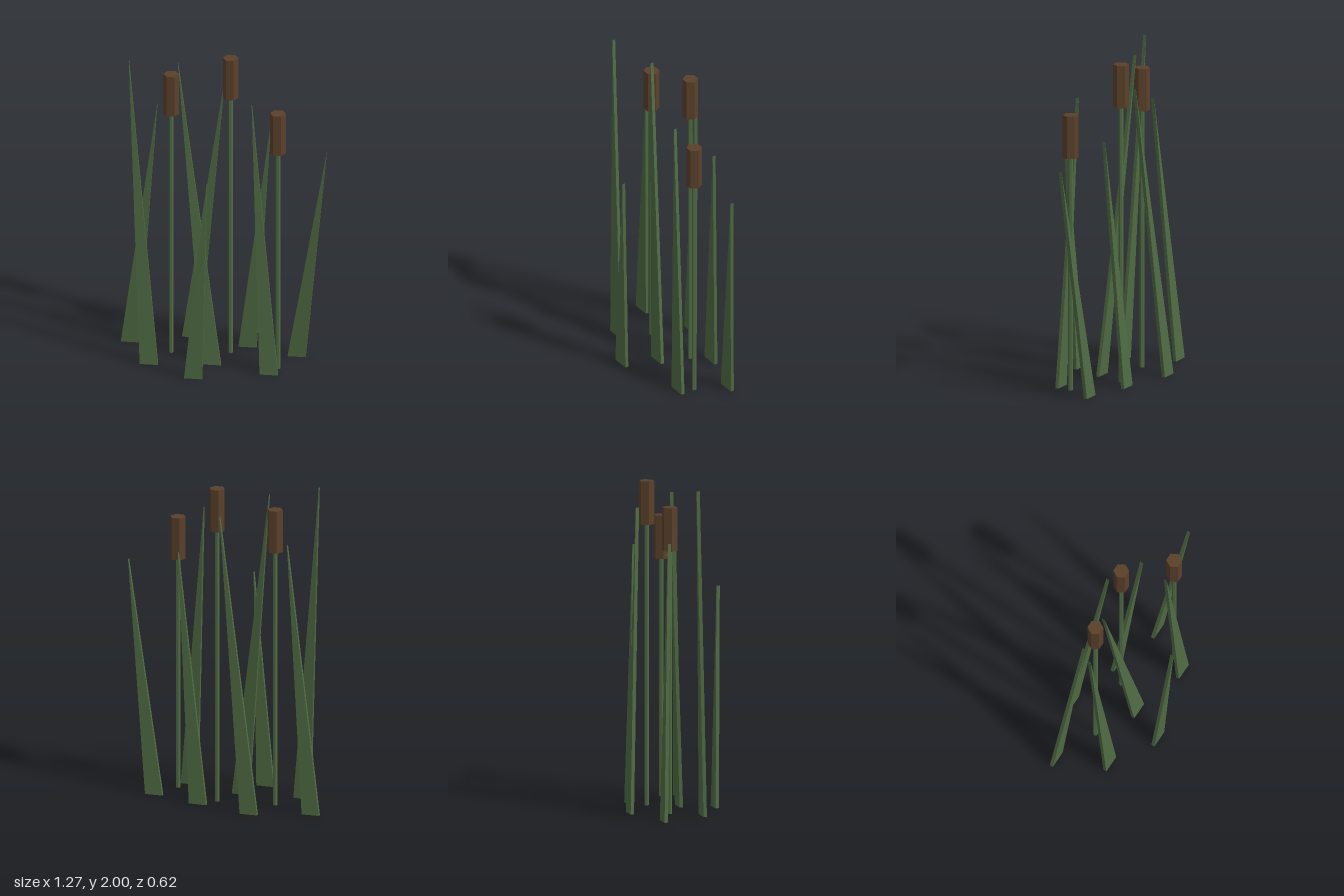
import * as THREE from 'three';

const green = new THREE.MeshStandardMaterial({ color: 0x4f6b43, flatShading: true });
green.name = 'reed green';
const brown = new THREE.MeshStandardMaterial({ color: 0x5a402a, flatShading: true });
brown.name = 'seed head brown';

const THICK = 0.021, WIDTH = 0.11;

// Tapered blade: a triangular prism sheared so its tip leans in x and z
function blade(x, z, tipX, tipZ, height) {
  const shape = new THREE.Shape();
  shape.moveTo(-WIDTH / 2, 0);
  shape.lineTo(WIDTH / 2, 0);
  shape.lineTo(tipX - x, height);
  shape.closePath();
  const geo = new THREE.ExtrudeGeometry(shape, { depth: THICK, bevelEnabled: false });
  geo.translate(0, 0, -THICK / 2);
  const p = geo.attributes.position;
  for (let i = 0; i < p.count; i++) {
    p.setZ(i, p.getZ(i) + (tipZ - z) * p.getY(i) / height);
  }
  geo.computeVertexNormals();
  const mesh = new THREE.Mesh(geo, green);
  mesh.position.set(x, 0, z);
  mesh.name = 'blade';
  return mesh;
}

// Hexagonal stem carrying a hexagonal seed head
function cattail(x, z, headBase) {
  const group = new THREE.Group();
  group.name = 'cattail';
  const part = (name, radius, y0, y1, material) => {
    const mesh = new THREE.Mesh(new THREE.CylinderGeometry(radius, radius, y1 - y0, 6), material);
    mesh.rotation.y = Math.PI / 6;
    mesh.position.y = (y0 + y1) / 2;
    mesh.name = name;
    group.add(mesh);
  };
  part('stem', 0.0145, 0, headBase + 0.02, green);
  part('seedHead', 0.048, headBase, headBase + 0.265, brown);
  group.position.set(x, 0, z);
  return group;
}

export function createModel() {
  const model = new THREE.Group();
  model.name = 'reeds';

  // base x, base z, tip x, tip z, height
  const blades = [
    [-0.583, -0.19, -0.405, -0.105, 1.66],
    [-0.227, -0.303, -0.005, -0.194, 1.825],
    [0.128, -0.214, 0.28, -0.136, 1.555],
    [0.438, -0.126, 0.635, -0.028, 1.44],
    [-0.43, 0.096, -0.56, 0.031, 2.0],
    [-0.053, 0.052, -0.273, -0.055, 1.955],
    [0.304, 0.141, 0.194, 0.088, 1.78],
    [-0.14, 0.252, -0.052, 0.297, 1.333],
  ];
  for (const b of blades) model.add(blade(...b));

  // x, z, underside height of the seed head
  const cattails = [[-0.318, -0.08, 1.605], [0.037, -0.125, 1.715], [0.348, 0.053, 1.45]];
  for (const c of cattails) model.add(cattail(...c));

  return model;
}
